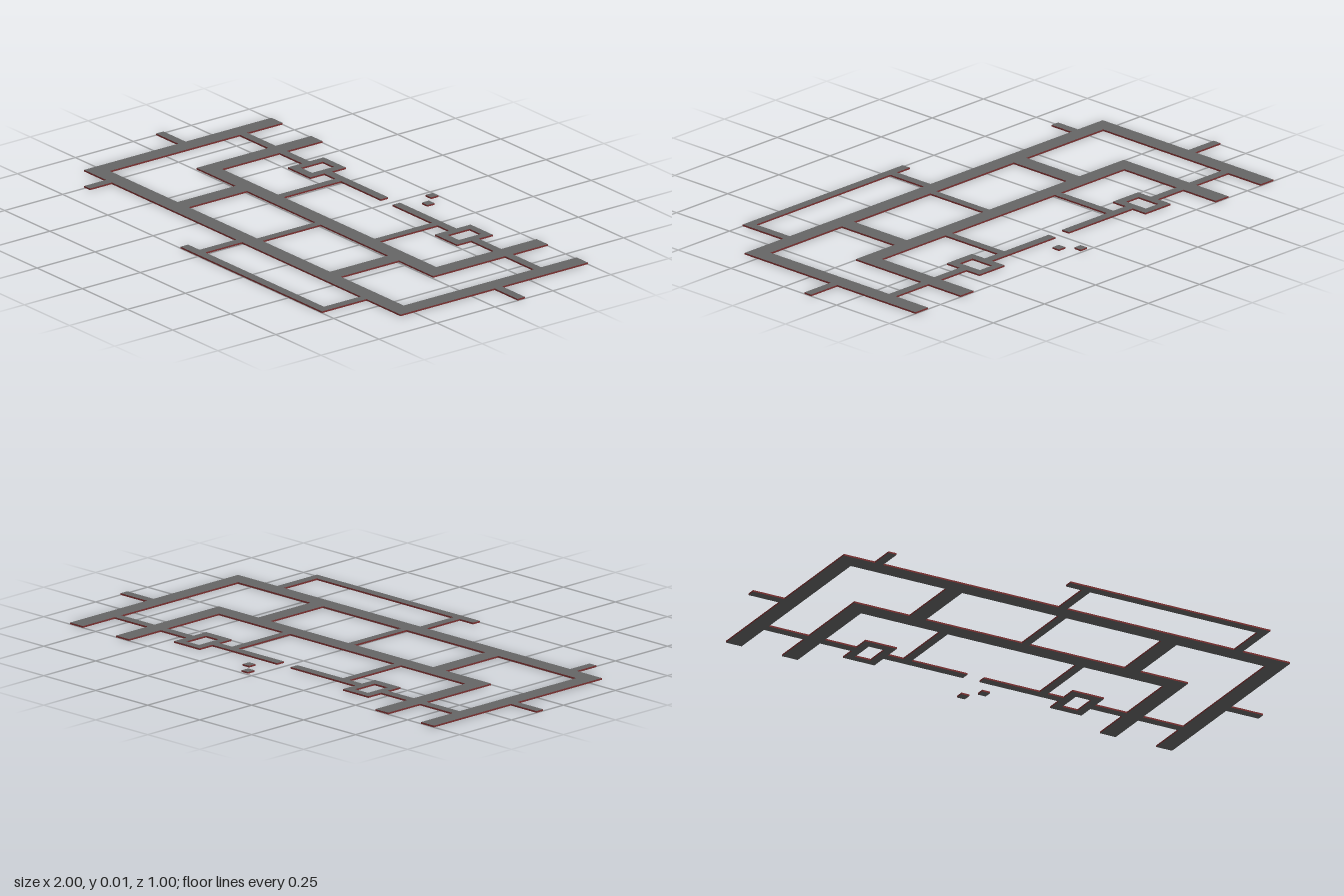
import * as THREE from 'three';

const T = 0.006; // slab thickness

export function createModel() {
  const model = new THREE.Group();
  const surface = new THREE.MeshStandardMaterial({ color: 0x666666 });
  const edge = new THREE.MeshStandardMaterial({ color: 0x7a3030 });

  // Lays a flat slab on the ground from an outline of [x, z] points
  function slab(name, points, hole) {
    const toVectors = (list) => list.map(([x, z]) => new THREE.Vector2(x, z));
    const shape = new THREE.Shape(toVectors(points));
    if (hole) shape.holes.push(new THREE.Path(toVectors(hole)));
    const geometry = new THREE.ExtrudeGeometry(shape, { depth: T, bevelEnabled: false });
    geometry.rotateX(Math.PI / 2).translate(0, T, 0);
    const mesh = new THREE.Mesh(geometry, [surface, edge]);
    mesh.name = name;
    model.add(mesh);
  }
  const rect = (x0, x1, z0, z1) => [[x0, z0], [x1, z0], [x1, z1], [x0, z1]];
  const strip = (name, ...r) => slab(name, rect(...r));

  // U-shaped road, open to the back
  function uRoad(name, x0, x1, zBack, zFront, w) {
    slab(name, [
      [x0, zBack], [x0 + w, zBack], [x0 + w, zFront - w], [x1 - w, zFront - w],
      [x1 - w, zBack], [x1, zBack], [x1, zFront], [x0, zFront],
    ]);
  }
  uRoad('outerRoad', -0.877, 0.873, -0.5, 0.308, 0.062);
  uRoad('innerRoad', -0.657, 0.652, -0.5, -0.005, 0.062);

  // Roads linking the inner and outer U
  strip('rightLinkRoad', -0.44, -0.378, -0.005, 0.246);
  strip('middleLinkRoad', 0, 0.03, -0.005, 0.246);
  strip('leftLinkRoad', 0.403, 0.463, -0.005, 0.246);

  // Narrow back path, broken by the square loops and a central gap
  const path = [[-0.815, -0.657], [-0.595, -0.47], [-0.347, -0.035],
    [0.03, 0.342], [0.465, 0.59], [0.652, 0.811]];
  for (const [x0, x1] of path) strip('backPath', x0, x1, -0.347, -0.315);
  for (const x of [-0.47, 0.342]) {
    slab('squareLoop', rect(x, x + 0.123, -0.408, -0.254),
      rect(x + 0.031, x + 0.092, -0.38, -0.286));
  }
  for (const x of [-0.286, 0.248]) strip('innerPath', x, x + 0.031, -0.315, -0.067);

  // Side stubs
  strip('rightStub', -1, -0.877, -0.13, -0.098);
  strip('leftStub', 0.873, 1, -0.13, -0.098);

  // Front paths
  strip('frontStub', -0.756, -0.724, 0.308, 0.402);
  strip('frontPathLink', -0.035, -0.003, 0.308, 0.467);
  strip('frontPathLink', 0.653, 0.685, 0.308, 0.467);
  strip('frontPath', -0.098, 0.685, 0.467, 0.5);

  // Loose tiles behind the gap
  strip('looseTile', 0.025, 0.056, -0.492, -0.461);
  strip('looseTile', 0.075, 0.106, -0.437, -0.406);

  return model;
}
